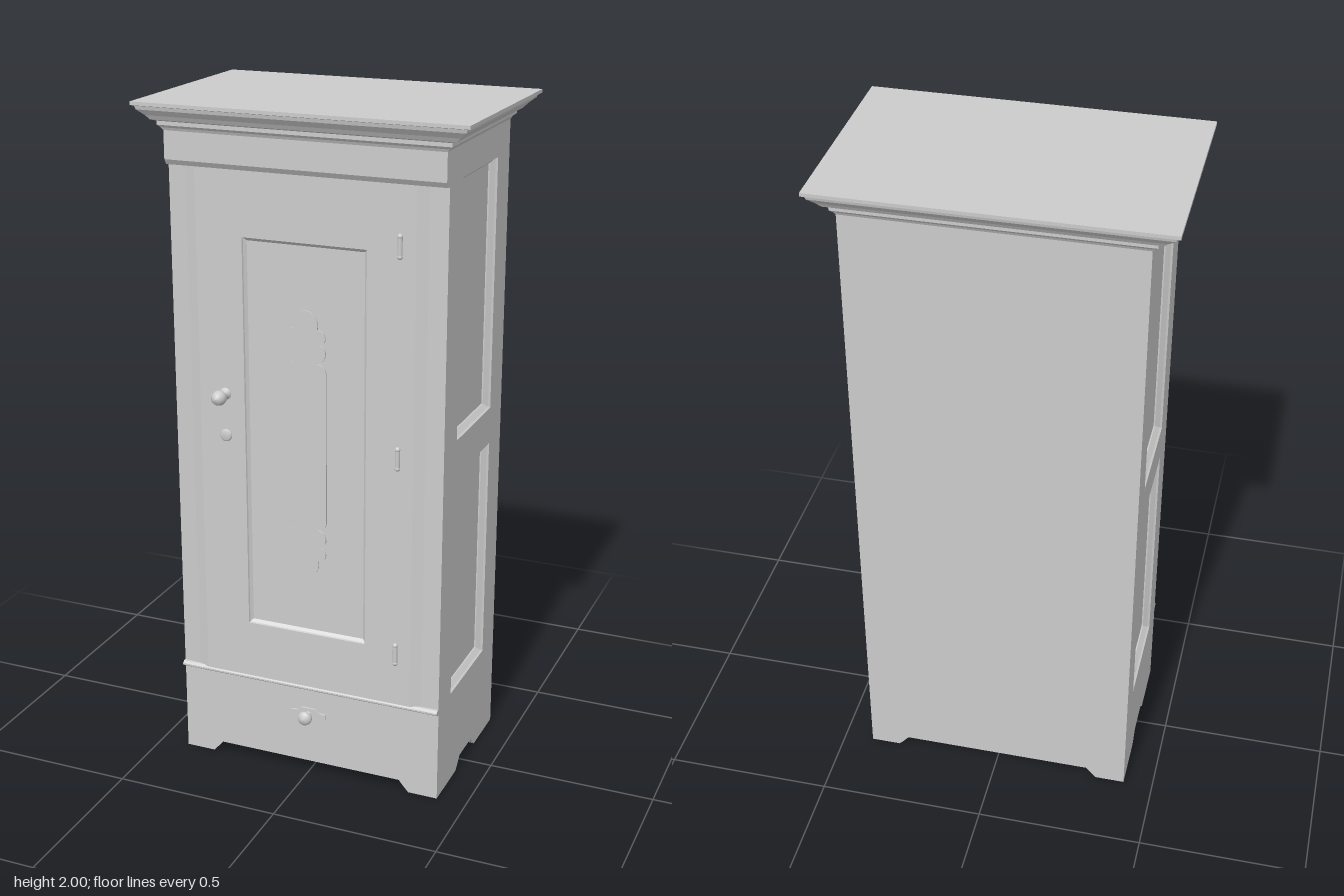
import * as THREE from 'three';

const mat = new THREE.MeshStandardMaterial({ color: 0xcccccc });
const flat = new THREE.MeshStandardMaterial({ color: 0xcccccc, flatShading: true, side: THREE.DoubleSide });

export function createModel() {
  const model = new THREE.Group();
  model.name = 'wardrobe';

  const add = (name, geo, x = 0, y = 0, z = 0, parent = model, material = mat) => {
    const m = new THREE.Mesh(geo, material);
    m.name = name;
    m.position.set(x, y, z);
    parent.add(m);
    return m;
  };
  const box = (name, x0, x1, y0, y1, z0, z1) =>
    add(name, new THREE.BoxGeometry(x1 - x0, y1 - y0, z1 - z0), (x0 + x1) / 2, (y0 + y1) / 2, (z0 + z1) / 2);
  const poly = pts => new THREE.Shape(pts.map(p => new THREE.Vector2(...p)));
  const rect = (a, b, c, d) => [[a, c], [b, c], [b, d], [a, d]];
  const extrude = (shape, depth) => new THREE.ExtrudeGeometry(shape, { depth, bevelEnabled: false, curveSegments: 10 });

  // Joins four-cornered rings into flat strips, optionally closing both ends
  const loft = (rings, capped) => {
    const pos = [];
    const quad = (a, b, c, d) => pos.push(...a, ...b, ...c, ...a, ...c, ...d);
    for (let i = 0; i + 1 < rings.length; i++) {
      for (let k = 0; k < 4; k++) {
        const n = (k + 1) % 4;
        quad(rings[i][k], rings[i][n], rings[i + 1][n], rings[i + 1][k]);
      }
    }
    if (capped) {
      quad(...[...rings[0]].reverse());
      quad(...rings[rings.length - 1]);
    }
    const g = new THREE.BufferGeometry();
    g.setAttribute('position', new THREE.Float32BufferAttribute(pos, 3));
    g.computeVertexNormals();
    return g;
  };

  // Board outline with a bracket-foot notch in its lower edge
  const board = (u0, u1, n0, n1, slope) => poly([
    [u0, 0], [n0, 0], [n0 + slope * 0.6, 0.02], [n0 + slope, 0.035],
    [n1 - slope, 0.035], [n1 - slope * 0.6, 0.02], [n1, 0], [u1, 0], [u1, 1.93], [u0, 1.93]]);

  // Front and back boards, floor
  add('frontBoard', extrude(board(-0.38, 0.38, -0.32, 0.32, 0.03), 0.03), 0, 0, 0.21);
  add('backBoard', extrude(board(-0.38, 0.38, -0.32, 0.32, 0.03), 0.03), 0, 0, -0.27);
  box('floor', -0.38, 0.38, 0.035, 0.05, -0.24, 0.21);

  // Sides with two sunken, bevelled panels each
  const sidePanels = [[1.09, 1.83], [0.295, 0.98]];
  for (const s of [1, -1]) {
    const side = new THREE.Group();
    side.name = s > 0 ? 'leftSide' : 'rightSide';
    model.add(side);
    const shape = board(-0.24, 0.27, -0.07, 0.105, 0.035);
    for (const [y0, y1] of sidePanels) shape.holes.push(poly(rect(-0.135, 0.165, y0, y1)));
    const g = extrude(shape, 0.03);
    g.rotateY(Math.PI / 2);
    add('sideFrame', g, s > 0 ? 0.38 : -0.41, 0, 0, side);
    for (const [y0, y1] of sidePanels) {
      const ring = (x, inset) => rect(-0.165 + inset, 0.135 - inset, y0 + inset, y1 - inset)
        .map(([z, y]) => [s * x, y, z]);
      add('panelBevel', loft([ring(0.41, 0), ring(0.404, 0.003), ring(0.391, 0.015), ring(0.386, 0.015)]),
        0, 0, 0, side, flat);
      add('sidePanel', new THREE.BoxGeometry(0.008, y1 - y0, 0.3), s * 0.383, (y0 + y1) / 2, -0.015, side);
    }
  }

  // Cornice: rings growing from the body outline to the top edge
  const profile = [[0, 1.92], [0.08, 1.928], [0.2, 1.935], [0.2, 1.946], [0.4, 1.95],
    [0.55, 1.962], [0.82, 1.978], [0.87, 1.988], [1, 1.99], [1, 2]];
  const mix = THREE.MathUtils.lerp;
  add('cornice', loft(profile.map(([t, y]) => {
    const x = mix(0.41, 0.485, t), f = mix(0.265, 0.312, t), b = mix(-0.27, -0.322, t);
    return [[-x, y, f], [x, y, f], [x, y, b], [-x, y, b]];
  }), true), 0, 0, 0, model, flat);

  // Horizontal mouldings: z,y profiles run across the front
  const acrossFront = (name, pts) => {
    const g = extrude(poly(pts.map(([z, y]) => [-z, y])), 0.82);
    g.rotateY(Math.PI / 2);
    add(name, g, -0.41);
  };
  acrossFront('frieze', [[0.239, 1.825], [0.255, 1.825], [0.265, 1.84], [0.265, 1.925], [0.239, 1.925]]);
  acrossFront('ledge', [[0.239, 0.277], [0.25, 0.28], [0.258, 0.286], [0.258, 0.291], [0.25, 0.297], [0.239, 0.297]]);

  // Door with a sunken panel
  const px = 0.185, py0 = 0.47, py1 = 1.64;
  const door = poly(rect(-0.325, 0.325, 0.295, 1.828));
  door.holes.push(poly(rect(-px, px, py0, py1)));
  add('doorFrame', extrude(door, 0.015), 0, 0, 0.24);
  const doorRing = (z, i) => rect(-px + i, px - i, py0 + i, py1 - i).map(([x, y]) => [x, y, z]);
  add('doorPanelBevel', loft([doorRing(0.255, 0), doorRing(0.25, 0.002), doorRing(0.243, 0.01)]),
    0, 0, 0, model, flat);
  box('doorPanel', -px, px, py0, py1, 0.236, 0.243);

  // Sloped corner strips beside the door
  for (const s of [1, -1]) {
    const strip = poly([[0.325, 0.239], [0.41, 0.239], [0.41, 0.241], [0.357, 0.244], [0.325, 0.255]]
      .map(([x, z]) => [s * x, -z]));
    const g = extrude(strip, 1.533);
    g.rotateX(-Math.PI / 2);
    add('cornerStrip', g, 0, 0.295, 0);
  }

  // Scrolled ornament on the door panel, mirrored in both directions
  const q = new THREE.Path();
  q.moveTo(0.062, 0);
  q.lineTo(0.062, 0.225);
  q.quadraticCurveTo(0.06, 0.245, 0.035, 0.25);
  q.quadraticCurveTo(0.062, 0.256, 0.06, 0.285);
  q.quadraticCurveTo(0.056, 0.3, 0.044, 0.303);
  q.quadraticCurveTo(0.068, 0.316, 0.056, 0.338);
  q.quadraticCurveTo(0.048, 0.347, 0.036, 0.347);
  q.bezierCurveTo(0.044, 0.375, 0.022, 0.4, 0, 0.4);
  const quarter = q.getPoints(6).map(p => [p.x, p.y]);
  const upper = [...quarter, ...quarter.slice(0, -1).reverse().map(([x, y]) => [-x, y])];
  const lower = upper.slice(1, -1).reverse().map(([x, y]) => [x, -y]);
  add('ornament', extrude(poly([...upper, ...lower]), 0.006), 0, 1.05, 0.242);

  // Turned hardware: radius, height profiles pointing forward
  const turned = (name, pts, x, y, z) => {
    const g = new THREE.LatheGeometry(pts.map(p => new THREE.Vector2(...p)), 20);
    g.rotateX(Math.PI / 2);
    return add(name, g, x, y, z);
  };
  const knob = [[0.018, 0], [0.017, 0.005], [0.009, 0.012], [0.008, 0.022], [0.015, 0.026], [0.021, 0.034],
    [0.022, 0.043], [0.019, 0.054], [0.011, 0.062], [0, 0.065]];
  turned('doorKnob', knob, -0.245, 1.18, 0.255);
  turned('keyhole', [[0.018, 0], [0.018, 0.004], [0.013, 0.008], [0, 0.008]], -0.245, 1.055, 0.255);

  // Drawer pull: pointed oval plate and knob
  const plate = poly([[-0.055, -0.008], [-0.035, -0.01], [-0.022, -0.021], [0.022, -0.021], [0.035, -0.01],
    [0.055, -0.008], [0.055, 0.008], [0.035, 0.01], [0.022, 0.021], [-0.022, 0.021], [-0.035, 0.01], [-0.055, 0.008]]);
  add('drawerPlate', extrude(plate, 0.008), 0, 0.195, 0.239);
  turned('drawerKnob', knob.map(([r, h]) => [r, h * 0.72]), 0, 0.195, 0.24);

  // Hinge barrels
  for (const y of [1.658, 1.058, 0.457]) {
    const hinge = new THREE.Group();
    hinge.name = 'hinge';
    hinge.position.set(0.28, y, 0.257);
    model.add(hinge);
    add('hingeBarrel', new THREE.CylinderGeometry(0.007, 0.007, 0.054, 12), 0, 0, 0, hinge);
    for (const s of [1, -1]) add('hingeTip', new THREE.SphereGeometry(0.008, 12, 8), 0, s * 0.028, 0, hinge);
  }
  return model;
}
